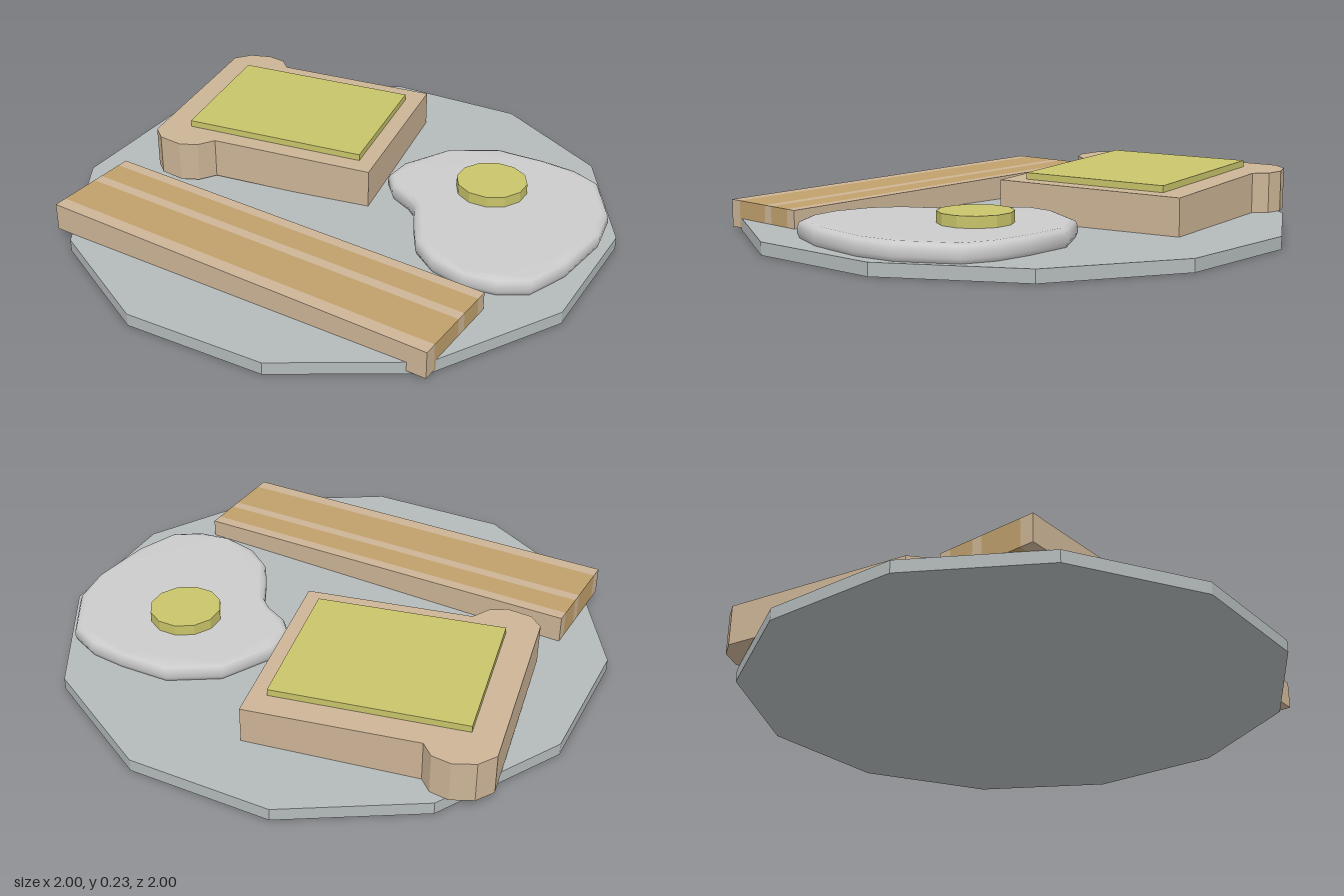
import * as THREE from 'three';
import { mergeVertices } from 'three/addons/utils/BufferGeometryUtils.js';

const mat = (color, flatShading = true) => new THREE.MeshStandardMaterial({ color, flatShading });

// Upright slab from a plan outline of [x, z] points
function slab(points, y0, height, bevel = 0) {
  const shape = new THREE.Shape(points.map(([x, z]) => new THREE.Vector2(x, -z)));
  const geo = new THREE.ExtrudeGeometry(shape, {
    depth: height - 2 * bevel, bevelEnabled: bevel > 0, bevelThickness: bevel,
    bevelSize: bevel, bevelOffset: -bevel, bevelSegments: 2,
  });
  return geo.rotateX(-Math.PI / 2).translate(0, y0 + bevel, 0);
}

// Lean a geometry by raising each vertex along a plane
function lean(geo, slopeX, slopeZ) {
  const p = geo.attributes.position;
  for (let i = 0; i < p.count; i++) p.setY(i, p.getY(i) + slopeX * p.getX(i) + slopeZ * p.getZ(i));
  geo.computeVertexNormals();
  return geo;
}

export function createModel() {
  const group = new THREE.Group();
  const add = (name, geo, material, parent = group) => {
    const mesh = new THREE.Mesh(geo, material);
    mesh.name = name;
    parent.add(mesh);
    return mesh;
  };
  const crust = mat(0xccb496), yellow = mat(0xc8c46a);

  // Twelve-sided plate
  add('plate', new THREE.CylinderGeometry(1, 1, 0.045, 12).translate(0, 0.0225, 0), mat(0xb4baba));

  // Bread slice with two rounded ears, tilted slightly, and spread on top
  const slice = [
    [-0.2, -0.69], [0.09, -0.04], [-0.47, 0.21], [-0.49, 0.28], [-0.54, 0.325], [-0.63, 0.34], [-0.69, 0.31],
    [-0.98, -0.34], [-0.955, -0.41], [-0.89, -0.46], [-0.82, -0.47], [-0.765, -0.44],
  ];
  add('toast', lean(slab(slice, 0.04, 0.15), -0.0177, 0.0233), crust);
  const spread = [[-0.85, -0.3], [-0.22, -0.58], [0.005, -0.08], [-0.62, 0.2]];
  add('butter', lean(slab(spread, 0.18, 0.034), -0.0177, 0.0233), yellow);

  // Bacon strip: alternating fat and meat bands side by side
  const bacon = new THREE.Group();
  bacon.name = 'bacon';
  const meat = mat(0xc0a06c), length = 1.51, width = 0.378;
  const edges = [0, 0.11, 0.36, 0.46, 0.87, 1];
  for (let i = 0; i < edges.length - 1; i++) {
    const w = (edges[i + 1] - edges[i]) * width;
    const z = ((edges[i + 1] + edges[i]) / 2 - 0.5) * width;
    const band = new THREE.BoxGeometry(length, 0.1, w).translate(0, 0, z);
    add(i % 2 ? 'meatBand' : 'fatBand', lean(band, -0.0235, 0), i % 2 ? meat : crust, bacon);
  }
  bacon.position.set(0.107, 0.078, 0.508);
  bacon.rotation.y = 0.21;
  group.add(bacon);

  // Egg white: flat blob with rounded rim and fully smoothed normals
  const blob = [
    [0.03, -0.3], [0.08, -0.5], [0.22, -0.64], [0.4, -0.69], [0.53, -0.71], [0.65, -0.69], [0.8, -0.54],
    [0.86, -0.4], [0.89, -0.17], [0.87, 0], [0.79, 0.08], [0.68, 0.125], [0.54, 0.125], [0.43, 0.08],
    [0.35, 0], [0.27, -0.09], [0.21, -0.12], [0.12, -0.14], [0.05, -0.19],
  ];
  let white = slab(blob, 0.037, 0.07, 0.024);
  white.deleteAttribute('normal');
  white.deleteAttribute('uv');
  white = mergeVertices(white);
  white.computeVertexNormals();
  add('eggWhite', white, mat(0xcccccc, false));

  // Yolk
  add('eggYolk', new THREE.CylinderGeometry(0.13, 0.13, 0.06, 12).translate(0.4, 0.117, -0.37), yellow);

  return group;
}
